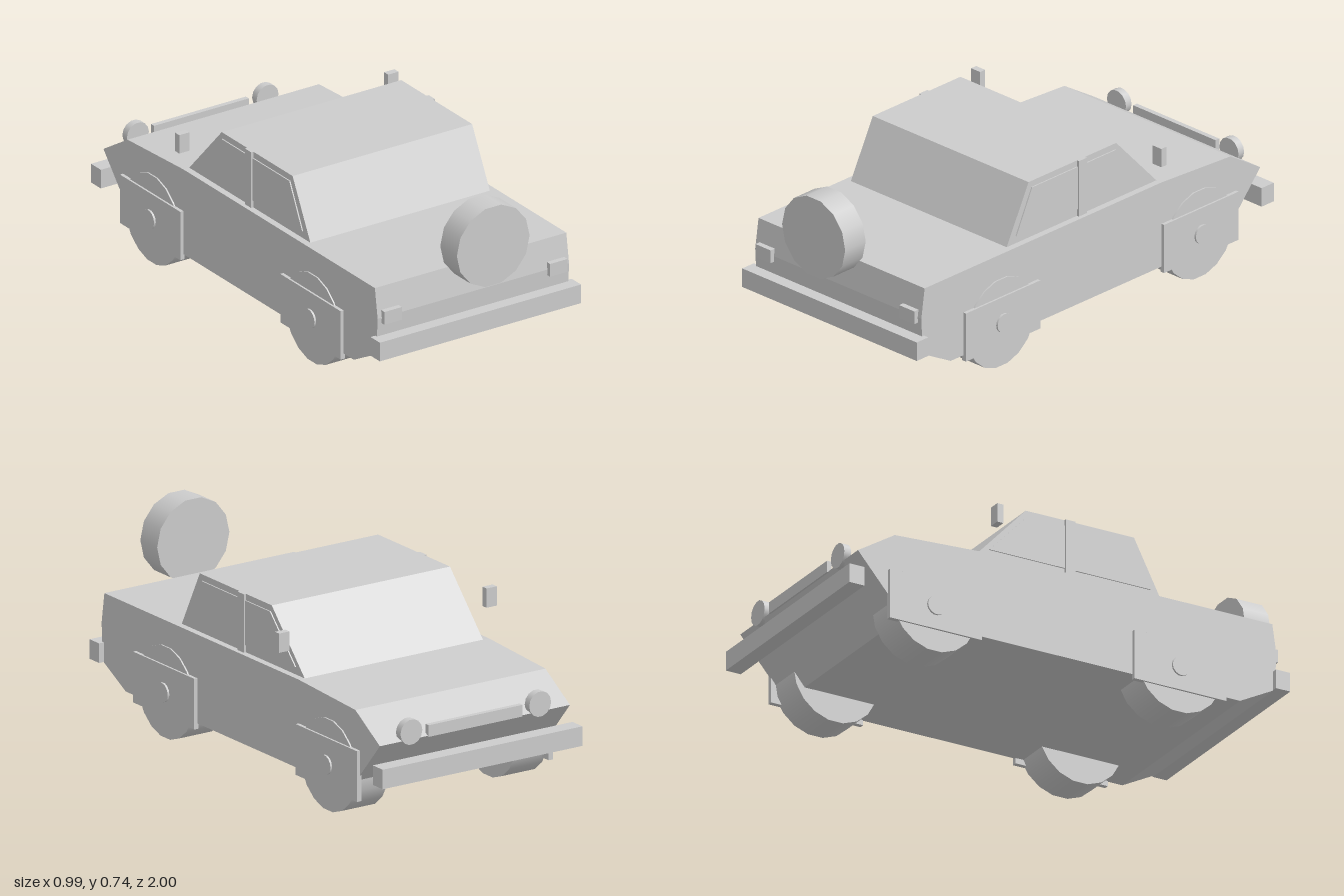
import * as THREE from 'three';

const paint = new THREE.MeshStandardMaterial({ color: 0xcccccc });
paint.name = 'plain grey';

export function createModel() {
  const car = new THREE.Group();
  car.name = 'car';

  const add = (name, geometry, x = 0, y = 0, z = 0) => {
    const mesh = new THREE.Mesh(geometry, paint);
    mesh.name = name;
    mesh.position.set(x, y, z);
    car.add(mesh);
    return mesh;
  };

  // Side profile of [z, y] points, extruded across the car between x0 and x1
  const slab = (name, points, x0, x1) => {
    const shape = new THREE.Shape(points.map(([z, y]) => new THREE.Vector2(z, y)));
    const g = new THREE.ExtrudeGeometry(shape, { depth: x1 - x0, bevelEnabled: false });
    g.rotateY(-Math.PI / 2);
    return add(name, g, x1);
  };

  // Box given by its limits on each axis
  const block = (name, [x0, x1], [y0, y1], [z0, z1]) =>
    add(name, new THREE.BoxGeometry(x1 - x0, y1 - y0, z1 - z0),
      (x0 + x1) / 2, (y0 + y1) / 2, (z0 + z1) / 2);

  // Disc with its axis along z
  const discZ = (r, depth, sides) =>
    new THREE.CylinderGeometry(r, r, depth, sides, 1, false, Math.PI / 2).rotateX(Math.PI / 2);

  // Disc with its axis along x
  const discX = (r, depth, sides) =>
    new THREE.CylinderGeometry(r, r, depth, sides).rotateZ(Math.PI / 2);

  // Lower body and cabin; the bonnet points to -z
  slab('body', [
    [0.71, 0.11], [0.86, 0.19], [0.868, 0.34], [0.85, 0.46], [-0.42, 0.46],
    [-0.79, 0.44], [-0.95, 0.34], [-0.82, 0.19], [-0.755, 0.11],
  ], -0.434, 0.434);
  slab('cabin', [[0.385, 0.455], [0.265, 0.69], [-0.205, 0.69], [-0.425, 0.455]], -0.407, 0.407);

  // Bumpers
  block('tailBumper', [-0.456, 0.456], [0.188, 0.265], [0.853, 0.915]);
  block('noseBumper', [-0.456, 0.456], [0.188, 0.265], [-1, -0.935]);

  // Grille bar and spare wheel
  block('grille', [-0.215, 0.215], [0.337, 0.383], [-0.955, -0.935]);
  add('spareWheel', discZ(0.165, 0.11, 14), 0, 0.578, 0.945);

  for (const s of [-1, 1]) {
    const span = (a, b) => (s > 0 ? [a, b] : [-b, -a]);

    // Side windows and the pillar between them
    const side = (name, pts, a, b) => slab(name, pts, ...span(a, b));
    side('rearWindow', [[0.335, 0.49], [0.25, 0.665], [0.005, 0.665], [0.005, 0.49]], 0.405, 0.412);
    side('frontWindow', [[-0.037, 0.49], [-0.037, 0.665], [-0.2, 0.665], [-0.365, 0.49]], 0.405, 0.412);
    block('windowPillar', span(0.4, 0.417), [0.46, 0.69], [-0.037, 0.005]);

    // Lights and mirrors
    block('tailLight', span(0.336, 0.415), [0.317, 0.37], [0.855, 0.886]);
    add('headlight', discZ(0.05, 0.03, 14), s * 0.294, 0.371, -0.941);
    block('mirror', span(0.45, 0.497), [0.567, 0.643], [-0.382, -0.355]);

    // Wheels, arch plates and hubs
    for (const z of [0.443, -0.62]) {
      add('wheel', discX(0.182, 0.15, 18), s * 0.365, 0.18, z);
      block('archPlate', span(0.428, 0.448), [0.088, 0.288], [z - 0.2, z + 0.2]);
      add('hub', discX(0.038, 0.03, 14), s * 0.441, 0.182, z);
    }
  }

  return car;
}
